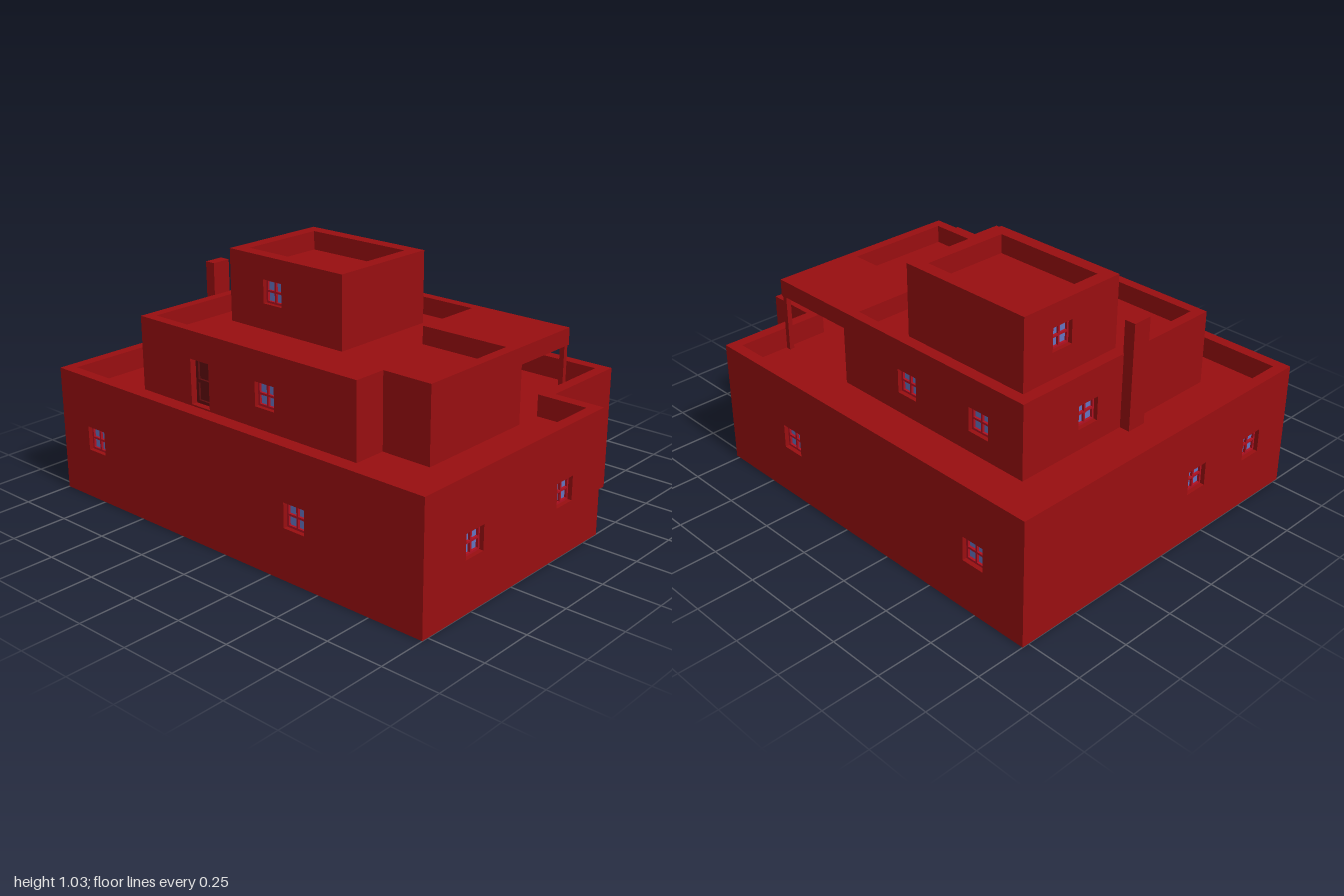
import * as THREE from 'three';

const mat = (color) => new THREE.MeshStandardMaterial({ color });
const wallMat = mat(0x990e10);
const frameMat = mat(0xb01020);
const doorMat = mat(0x5e0c0e);
const glassMat = mat(0x6474c0);

function box(parent, name, material, w, h, d, x, y, z) {
  const mesh = new THREE.Mesh(new THREE.BoxGeometry(w, h, d), material);
  mesh.name = name;
  mesh.position.set(x, y, z);
  parent.add(mesh);
  return mesh;
}

// Rectangular ring with its corner at the lower left
function rectPath(Type, x0, y0, x1, y1) {
  const p = new Type();
  p.moveTo(x0, y0);
  p.lineTo(x1, y0);
  p.lineTo(x1, y1);
  p.lineTo(x0, y1);
  p.closePath();
  return p;
}

// Four-pane window, set back in its opening
function makeWindow(s) {
  const g = new THREE.Group();
  g.name = 'window';
  const f = 0.009;
  box(g, 'windowGlass', glassMat, s, s, 0.006, 0, 0, -0.032);
  for (const k of [-1, 0, 1]) {
    const o = k * (s - f) / 2;
    box(g, 'windowUpright', frameMat, f, s, 0.012, o, 0, -0.025);
    box(g, 'windowRail', frameMat, s, f, 0.012, 0, o, -0.025);
  }
  return g;
}

// Door with two sunk panels, set back in its opening
function makeDoor(w, h) {
  const g = new THREE.Group();
  g.name = 'door';
  const f = 0.014;
  box(g, 'doorPanel', doorMat, w, h, 0.006, 0, 0, -0.042);
  for (const k of [-1, 1]) box(g, 'doorStile', doorMat, f, h, 0.012, k * (w - f) / 2, 0, -0.035);
  for (const k of [-1, 0, 1]) box(g, 'doorRail', doorMat, w, f, 0.012, 0, k * (h - f) / 2, -0.035);
  return g;
}

// Shrink a right-angled outline by t
function inset(pts, t) {
  const n = pts.length;
  const normal = (i) => {
    const [ax, az] = pts[i % n], [bx, bz] = pts[(i + 1) % n];
    const l = Math.hypot(bx - ax, bz - az);
    return [-(bz - az) / l, (bx - ax) / l];
  };
  return pts.map(([x, z], i) => {
    const p = normal(i + n - 1), q = normal(i);
    return [x - t * (p[0] + q[0]), z - t * (p[1] + q[1])];
  });
}

// One storey: a core up to the roof deck, ringed by walls that rise as a parapet.
// openings: [wall index, type, x or z of the centre, y of the centre]
function makeStorey(name, pts, y0, deck, top, t, openings) {
  const storey = new THREE.Group();
  storey.name = name;
  const n = pts.length;

  const outline = new THREE.Shape(inset(pts, t).map(([x, z]) => new THREE.Vector2(x, -z)));
  const coreGeo = new THREE.ExtrudeGeometry(outline, { depth: deck - y0, bevelEnabled: false });
  const core = new THREE.Mesh(coreGeo.rotateX(-Math.PI / 2), wallMat);
  core.name = 'roofDeck';
  core.position.y = y0;
  storey.add(core);

  pts.forEach(([ax, az], i) => {
    const [bx, bz] = pts[(i + 1) % n], [px, pz] = pts[(i + n - 1) % n];
    const dx = bx - ax, dz = bz - az, length = Math.hypot(dx, dz);
    // At an inner corner the wall runs on to close the corner
    const concave = (ax - px) * -dz + (az - pz) * dx < 0;
    const shape = rectPath(THREE.Shape, concave ? -t : 0, y0, length, top);
    const wall = new THREE.Group();
    wall.name = 'wallSide';
    wall.position.set(ax, 0, az);
    wall.rotation.y = Math.atan2(-dz, dx);

    for (const [edge, type, c, cy] of openings) {
      if (edge !== i) continue;
      const u = Math.abs(dx) > Math.abs(dz) ? Math.abs(c - ax) : Math.abs(c - az);
      const w = type === 'door' ? 0.108 : 0.106, h = type === 'door' ? 0.2 : 0.106;
      shape.holes.push(rectPath(THREE.Path, u - w / 2, cy - h / 2, u + w / 2, cy + h / 2));
      const unit = type === 'door' ? makeDoor(w, h) : makeWindow(w);
      unit.position.set(u, cy, 0);
      wall.add(unit);
    }
    const geo = new THREE.ExtrudeGeometry(shape, { depth: t, bevelEnabled: false });
    const mesh = new THREE.Mesh(geo.translate(0, 0, -t), wallMat);
    mesh.name = 'wall';
    wall.add(mesh);
    storey.add(wall);
  });
  return storey;
}

export function createModel() {
  const house = new THREE.Group();
  house.name = 'house';

  // Ground floor with a notched back corner
  house.add(makeStorey('groundFloor',
    [[-1, 0.78], [1, 0.78], [1, -0.35], [0.77, -0.35], [0.77, -0.78], [-1, -0.78]],
    0, 0.46, 0.555, 0.05, [
      [0, 'window', -0.78, 0.275], [0, 'window', 0.38, 0.275],
      [1, 'window', 0.485, 0.275], [1, 'window', -0.095, 0.275],
      [2, 'door', 0.87, 0.235],
      [4, 'window', 0.335, 0.275], [4, 'window', -0.74, 0.275],
      [5, 'window', 0.195, 0.275], [5, 'window', 0.55, 0.275],
    ]));

  // Middle floor with a stepped front and a porch cut from the back corner
  house.add(makeStorey('middleFloor',
    [[-0.725, 0.55], [0.49, 0.55], [0.49, 0.4], [0.72, 0.4],
      [0.72, -0.175], [0.3, -0.175], [0.3, -0.51], [-0.725, -0.51]],
    0.46, 0.71, 0.79, 0.046, [
      [0, 'door', -0.37, 0.567], [0, 'window', 0.005, 0.605],
      [5, 'door', -0.325, 0.567],
      [6, 'window', -0.085, 0.605], [6, 'window', -0.49, 0.605],
      [7, 'window', -0.155, 0.605],
    ]));

  // Top floor
  house.add(makeStorey('topFloor',
    [[-0.577, 0.165], [0.07, 0.165], [0.07, -0.36], [-0.577, -0.36]],
    0.71, 0.95, 1.035, 0.06, [
      [0, 'window', -0.325, 0.88], [3, 'window', -0.15, 0.88],
    ]));

  // Porch roof, its corner post, and the chimney
  box(house, 'porchRoof', wallMat, 0.42, 0.075, 0.335, 0.51, 0.7525, -0.3425);
  box(house, 'porchPost', wallMat, 0.022, 0.255, 0.022, 0.705, 0.5875, -0.495);
  box(house, 'chimney', wallMat, 0.05, 0.475, 0.09, -0.747, 0.6975, 0.083);

  return house;
}
